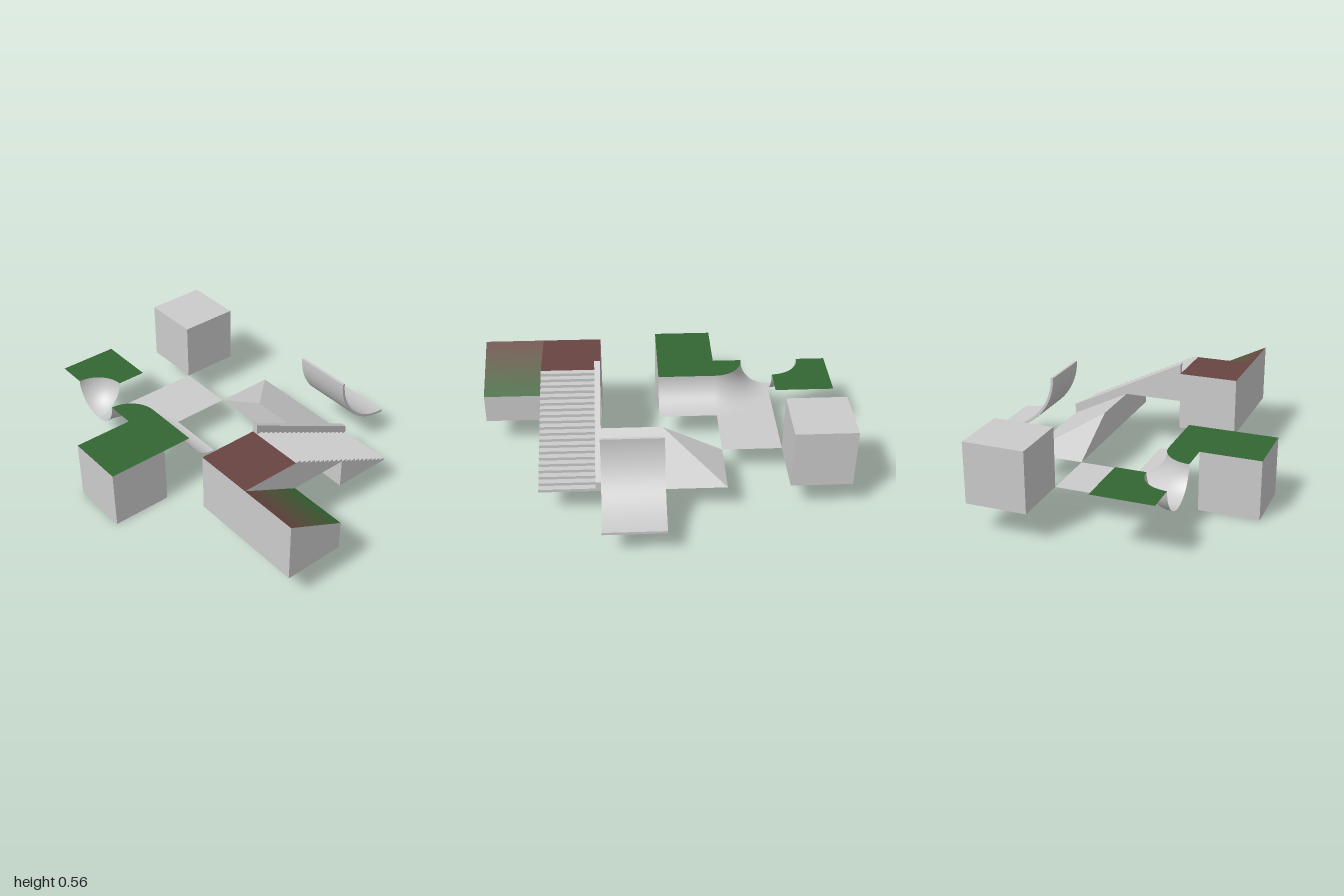
import * as THREE from 'three';

const S = 1 / 6; // half a tile: every tile is 2S wide, every ramp S high
const mat = (color) => new THREE.MeshStandardMaterial({ color, side: THREE.DoubleSide });
const GREY = mat(0xcccccc), GREEN = mat(0x336633), BROWN = mat(0x694441);

function add(parent, name, geometry, material = GREY) {
  const mesh = new THREE.Mesh(geometry, material);
  mesh.name = name;
  parent.add(mesh);
  return mesh;
}

// Convex flat face from 3D corners, counter-clockwise from its front
function face(...corners) {
  const pos = [];
  for (let i = 1; i < corners.length - 1; i++) pos.push(...corners[0], ...corners[i], ...corners[i + 1]);
  const g = new THREE.BufferGeometry();
  g.setAttribute('position', new THREE.Float32BufferAttribute(pos, 3));
  g.computeVertexNormals();
  return g;
}

// Level face from [x, z] points
const level = (points, y) =>
  new THREE.ShapeGeometry(new THREE.Shape(points.map(([x, z]) => new THREE.Vector2(x, -z))))
    .rotateX(-Math.PI / 2).translate(0, y, 0);

const sideShape = (points) => new THREE.Shape(points.map(([z, y]) => new THREE.Vector2(-z, y)));

// Upright face at x from [z, y] points
const side = (points, x) => new THREE.ShapeGeometry(sideShape(points)).rotateY(Math.PI / 2).translate(x, 0, 0);

// Solid from [z, y] points between x0 and x1
const solid = (points, x0, x1) =>
  new THREE.ExtrudeGeometry(sideShape(points), { depth: x1 - x0, bevelEnabled: false })
    .rotateY(Math.PI / 2).translate(x0, 0, 0);

// Open sheet following [z, y] points from x0 to x1
function sheet(points, x0, x1, smooth) {
  const pos = [], index = [];
  points.forEach(([z, y], i) => {
    pos.push(x0, y, z, x1, y, z);
    const k = i * 2;
    if (i) index.push(k - 2, k - 1, k + 1, k - 2, k + 1, k);
  });
  let g = new THREE.BufferGeometry();
  g.setAttribute('position', new THREE.Float32BufferAttribute(pos, 3));
  g.setIndex(index);
  if (!smooth) g = g.toNonIndexed();
  g.computeVertexNormals();
  return g;
}

// Points along an arc
const arc = (cx, cy, r, a0, a1, n = 20) => Array.from({ length: n + 1 }, (_, i) => {
  const a = a0 + (a1 - a0) * i / n;
  return [cx + r * Math.cos(a), cy + r * Math.sin(a)];
});

// Box from its low corner, with an optional coloured top
function block(parent, name, x, y, z, top = GREY) {
  const m = add(parent, name, new THREE.BoxGeometry(2 * S, 2 * S, 2 * S), [GREY, GREY, top, GREY, GREY, GREY]);
  m.position.set(x + S, y + S, z + S);
}

export function createModel() {
  const model = new THREE.Group();
  model.name = 'terrainTiles';
  const PI = Math.PI;

  // Full blocks and the flat tile
  block(model, 'plainBlock', -6 * S, S, -3 * S);
  block(model, 'grassBlock', -2 * S, 0, 3 * S, GREEN);
  block(model, 'earthBlock', 2 * S, S, S, BROWN);
  add(model, 'flatTile', level([[-4 * S, -S], [-2 * S, -S], [-2 * S, S], [-4 * S, S]], S));

  // Bowl tile: grass with a rounded cut and an eighth of a sphere below it
  const bowl = new THREE.Group();
  bowl.name = 'bowlTile';
  add(bowl, 'bowlGrass', level([[-6 * S, S], [-4 * S, S], ...arc(-4 * S, 3 * S, S, 1.5 * PI, PI), [-6 * S, 3 * S]], 2 * S), GREEN);
  add(bowl, 'bowl', new THREE.SphereGeometry(S, 20, 20, 1.5 * PI, PI / 2, PI / 2, PI / 2).translate(-4 * S, 2 * S, 3 * S));
  model.add(bowl);

  // Curved bank: rounded corner followed by a straight run
  const bank = new THREE.Group();
  bank.name = 'curvedBank';
  const curve = arc(2 * S, 2 * S, S, 1.5 * PI, PI); // [distance from corner, height]
  add(bank, 'cornerBank', new THREE.LatheGeometry(curve.map(([r, y]) => new THREE.Vector2(r, y)), 24, PI, PI / 2)
    .translate(-2 * S, 0, 3 * S));
  add(bank, 'cornerFloor', level([[-4 * S, S], ...arc(-2 * S, 3 * S, 2 * S, 1.5 * PI, PI)], S));
  add(bank, 'cornerGrass', level([[-2 * S, 3 * S], ...arc(-2 * S, 3 * S, S, PI, 1.5 * PI)], 2 * S), GREEN);
  add(bank, 'straightBank', sheet(curve.map(([r, y]) => [3 * S - r, y]).reverse(), -2 * S, 0, true));
  add(bank, 'straightGrass', level([[-2 * S, 2 * S], [0, 2 * S], [0, 3 * S], [-2 * S, 3 * S]], 2 * S), GREEN);
  model.add(bank);

  // Earth ramp: the slope fades from earth to grass in strips
  const ramp = new THREE.Group();
  ramp.name = 'earthRamp';
  const strips = 12;
  for (let i = 0; i < strips; i++) {
    const at = (t) => [3 * S - 2 * S * t, 3 * S - S * t];
    const tint = new THREE.Color(0x694441).lerp(new THREE.Color(0x336633), (i + 0.5) / strips);
    add(ramp, 'rampStrip', sheet([at(i / strips), at((i + 1) / strips)], 4 * S, 6 * S), mat(tint));
  }
  add(ramp, 'rampSide', side([[3 * S, S], [S, S], [S, 2 * S], [3 * S, 3 * S]], 6 * S));
  add(ramp, 'rampFront', face([4 * S, S, 3 * S], [6 * S, S, 3 * S], [6 * S, 3 * S, 3 * S], [4 * S, 3 * S, 3 * S]));
  add(ramp, 'rampBack', face([6 * S, S, S], [4 * S, S, S], [4 * S, 2 * S, S], [6 * S, 2 * S, S]));
  model.add(ramp);

  // Low slope with its hipped corner, open below
  const slope = new THREE.Group();
  slope.name = 'lowSlope';
  const a = [-2 * S, S, -3 * S], b = [0, S, -3 * S], c = [2 * S, S, -3 * S];
  const d = [-2 * S, S, -S], e = [0, S, -S], f = [2 * S, S, -S];
  const eTop = [0, 2 * S, -S], fTop = [2 * S, 2 * S, -S];
  add(slope, 'slopeTop', face(b, eTop, fTop, c));
  add(slope, 'hipBack', face(a, eTop, b));
  add(slope, 'hipSide', face(a, d, eTop));
  add(slope, 'hipWall', face(d, e, eTop));
  add(slope, 'slopeWall', face(e, f, fTop, eTop));
  model.add(slope);

  // Staircase over two tiles, with a solid rail on its right
  const stairs = new THREE.Group();
  stairs.name = 'stairs';
  const steps = 20, run = 4 * S / steps, rise = 2 * S / steps, rail = 0.032;
  const profile = [[-3 * S, S]];
  for (let i = 0; i < steps; i++) {
    const z = -3 * S + i * run, y = S + (i + 1) * rise;
    profile.push([z, y], [z + run, y]);
  }
  const under = [[S, 2 * S], [-S, 2 * S], [-S, S]];
  add(stairs, 'steps', sheet(profile.slice().reverse(), 2 * S + rail, 4 * S));
  add(stairs, 'stairLeftSide', side([...profile, ...under], 4 * S));
  add(stairs, 'stairRightSide', side([[-3 * S, S], [S, 3 * S], ...under], 2 * S));
  add(stairs, 'stairWall', face([2 * S, S, -S], [4 * S, S, -S], [4 * S, 2 * S, -S], [2 * S, 2 * S, -S]));
  add(stairs, 'rail', solid([[-3 * S, S], [S, 3 * S], [S, 3 * S + 0.057], [-3 * S, S + 0.057]], 2 * S, 2 * S + rail));
  model.add(stairs);

  // Thick quarter pipe at the back
  const pipe = new THREE.Group();
  pipe.name = 'quarterPipe';
  const R = 2 * S, T = 0.015;
  const inner = arc(-5 * S, 3 * S, R, 0, -PI / 2, 28), outer = arc(-5 * S, 3 * S, R + T, 0, -PI / 2, 28);
  const ring = [...inner, ...outer.slice().reverse()];
  add(pipe, 'pipeTop', sheet(inner, 0, 2 * S, true));
  add(pipe, 'pipeUnderside', sheet(outer.slice().reverse(), 0, 2 * S, true));
  for (const x of [0, 2 * S]) add(pipe, 'pipeEdge', side(ring, x));
  add(pipe, 'pipeLip', sheet([outer[0], inner[0]], 0, 2 * S));
  add(pipe, 'pipeToe', sheet([inner[28], outer[28]], 0, 2 * S));
  model.add(pipe);

  return model;
}
